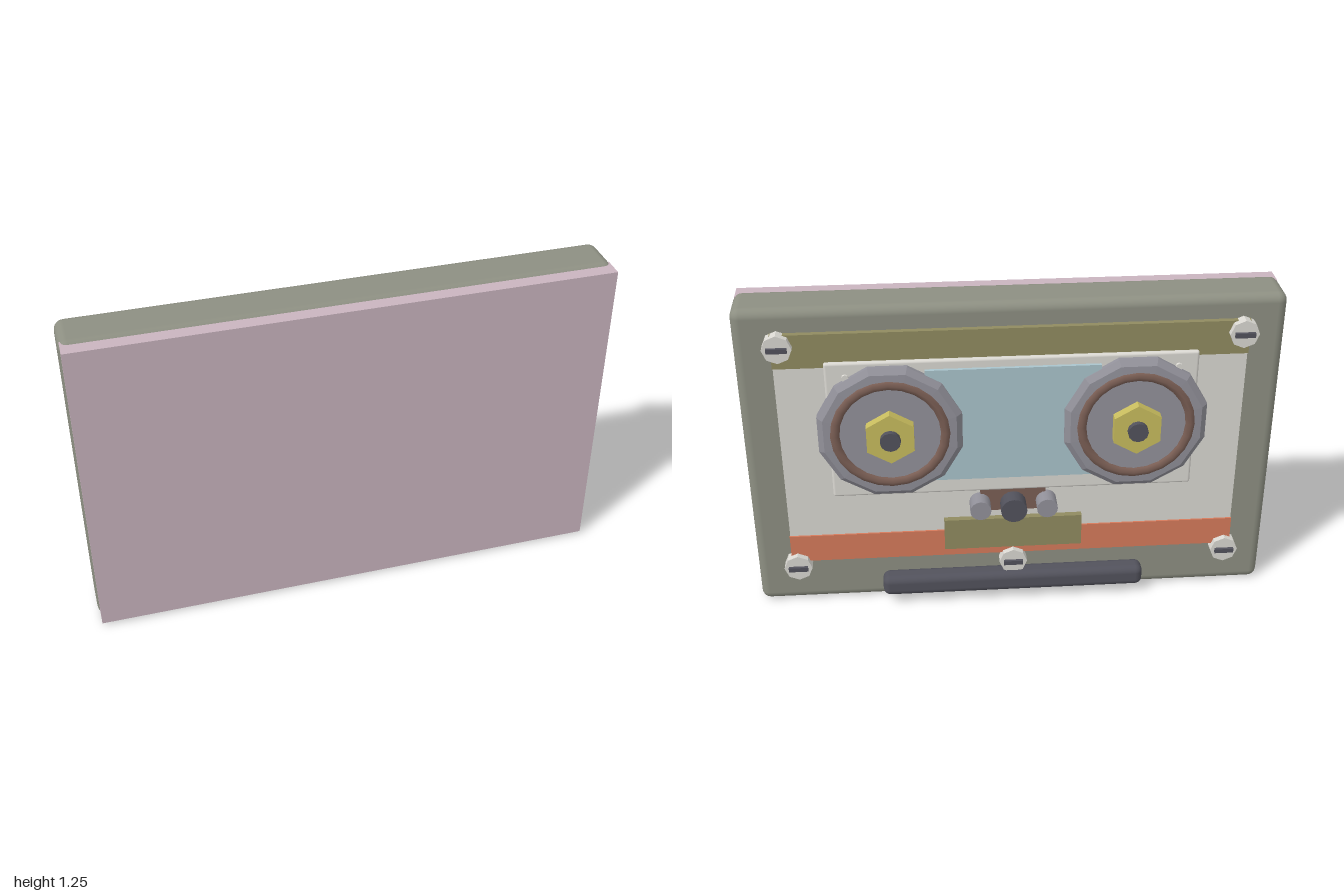
import * as THREE from 'three';
import { RoundedBoxGeometry } from 'three/addons/geometries/RoundedBoxGeometry.js';

const mat = (name, color) => {
  const m = new THREE.MeshStandardMaterial({ color });
  m.name = name;
  return m;
};

export function createModel() {
  const M = {
    body: mat('sage grey', 0x8d8f82),
    pink: mat('dusty pink', 0xc9b4bf),
    light: mat('light grey', 0xdad8d2),
    olive: mat('olive', 0x908b60),
    orange: mat('terracotta', 0xd67a5b),
    blue: mat('pale blue', 0xa9c4cc),
    grey: mat('mid grey', 0x92919a),
    brown: mat('brown', 0x7b5f55),
    dark: mat('charcoal', 0x52525c),
    yellow: mat('brass', 0xc8bc5e),
  };
  const model = new THREE.Group();

  const add = (name, geo, material, x = 0, y = 0, z = 0, parent = model) => {
    const mesh = new THREE.Mesh(geo, material);
    mesh.name = name;
    mesh.position.set(x, y, z);
    parent.add(mesh);
    return mesh;
  };

  // Box given by its centre x, half width, y range and z range; optional rounding
  const slab = (name, material, halfW, y0, y1, z0, z1, r = 0) => {
    const size = [halfW * 2, y1 - y0, z1 - z0];
    const geo = r ? new RoundedBoxGeometry(...size, 3, r) : new THREE.BoxGeometry(...size);
    return add(name, geo, material, 0, (y0 + y1) / 2, (z0 + z1) / 2);
  };

  // Flat facets for low-sided parts
  const faceted = (geo) => {
    const g = geo.toNonIndexed();
    g.computeVertexNormals();
    return g;
  };

  // Cylinder along z between two depths
  const rod = (name, material, r, sides, x, y, z0, z1, parent) => {
    let geo = new THREE.CylinderGeometry(r, r, z1 - z0, sides).rotateX(Math.PI / 2);
    if (sides <= 8) geo = faceted(geo);
    return add(name, geo, material, x, y, (z0 + z1) / 2, parent);
  };

  // Case and front panel
  slab('case', M.body, 0.997, 0, 1.255, -0.05, 0.138, 0.035);
  slab('frontPanel', M.pink, 0.99, 0.01, 1.246, 0.1, 0.178);

  // Layered plates on the back
  slab('backPlate', M.light, 0.86, 0.2, 1.165, -0.064, -0.04);
  slab('upperStrip', M.olive, 0.862, 1.035, 1.167, -0.071, -0.04);
  slab('lowerStrip', M.orange, 0.862, 0.197, 0.312, -0.071, -0.04);
  slab('reelPlate', M.light, 0.68, 0.495, 1.057, -0.085, -0.05, 0.01);
  slab('window', M.blue, 0.32, 0.56, 1.022, -0.098, -0.06);
  slab('knobPlate', M.brown, 0.125, 0.4, 0.495, -0.075, -0.05);
  slab('lowerLabelPlate', M.olive, 0.266, 0.235, 0.368, -0.088, -0.05);
  slab('bottomBar', M.dark, 0.513, 0.04, 0.126, -0.121, -0.04, 0.028);

  // Small pins in the corners of the reel plate
  for (const x of [-0.605, 0.605]) {
    for (const y of [0.555, 1.0]) rod('cornerPin', M.light, 0.014, 8, x, y, -0.096, -0.08);
  }

  // Reels: faceted wheel, brown ring, hex nut and bolt
  const wheelProfile = [
    [0.25, 0.062], [0.274, 0.075], [0.274, 0.102], [0.252, 0.12],
    [0.215, 0.122], [0.19, 0.118], [0, 0.118],
  ].map(([r, d]) => new THREE.Vector2(r, d));
  const wheelGeo = faceted(
    new THREE.LatheGeometry(wheelProfile, 12, Math.PI / 12).rotateX(-Math.PI / 2));
  const ringGeo = new THREE.TorusGeometry(0.203, 0.022, 8, 24);
  for (const side of [-1, 1]) {
    const reel = new THREE.Group();
    reel.name = side > 0 ? 'leftReel' : 'rightReel';
    reel.position.set(side * 0.453, 0.777, 0);
    model.add(reel);
    add('wheel', wheelGeo, M.grey, 0, 0, 0, reel);
    add('wheelRing', ringGeo, M.brown, 0, 0, -0.108, reel);
    rod('nut', M.yellow, 0.1, 6, 0, 0, -0.157, -0.11, reel);
    rod('bolt', M.dark, 0.038, 12, 0, 0, -0.178, -0.14, reel);
  }

  // Knobs below the window
  rod('centreKnob', M.dark, 0.05, 16, 0, 0.432, -0.138, -0.05);
  for (const x of [-0.127, 0.127]) rod('sideKnob', M.grey, 0.04, 16, x, 0.437, -0.137, -0.05);

  // Slotted screws
  const screws = [[-0.837, 1.122], [0.837, 1.122], [-0.837, 0.18], [0.837, 0.18], [0, 0.168]];
  for (const [x, y] of screws) {
    const screw = new THREE.Group();
    screw.name = 'screw';
    screw.position.set(x, y, 0);
    model.add(screw);
    rod('screwHead', M.light, 0.054, 8, 0, 0, -0.095, -0.04, screw);
    add('screwSlot', new THREE.BoxGeometry(0.074, 0.018, 0.013), M.dark, 0, 0, -0.1005, screw);
  }

  return model;
}
